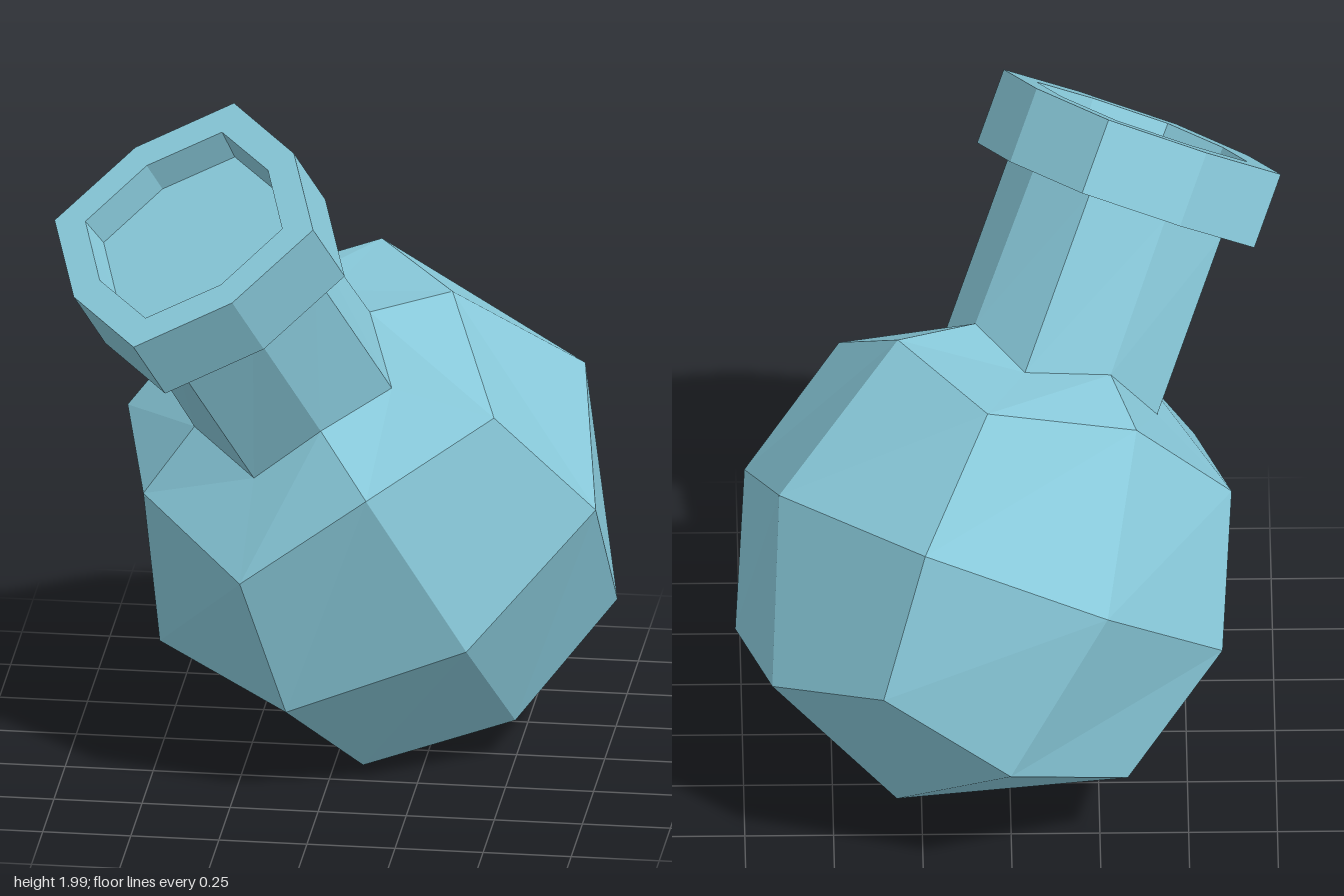
import * as THREE from 'three';

// Lofts eight-sided rings [corner radius, corner height, side radius, side height].
// Corners and sides alternate around the axis; rings run up the outside.
function loft(rings) {
  const point = ([rc, hc, rs, hs], k) => {
    const a = (k % 8) * Math.PI / 4;
    const r = k % 2 ? rs : rc;
    return [r * Math.cos(a), k % 2 ? hs : hc, r * Math.sin(a)];
  };
  const pos = [];
  for (let j = 0; j < rings.length - 1; j++) {
    const lo = rings[j], hi = rings[j + 1];
    for (let k = 0; k < 8; k++) {
      const a = point(lo, k), b = point(hi, k), c = point(hi, k + 1), d = point(lo, k + 1);
      if (lo[0] > 0) pos.push(...a, ...b, ...d);
      if (hi[0] > 0) pos.push(...b, ...c, ...d);
    }
  }
  const geo = new THREE.BufferGeometry();
  geo.setAttribute('position', new THREE.Float32BufferAttribute(pos, 3));
  geo.computeVertexNormals();
  return geo;
}

export function createModel() {
  const glass = new THREE.MeshStandardMaterial({ color: 0x89cadb });
  glass.name = 'paleBlue';
  glass.flatShading = true;

  const flask = new THREE.Group();
  flask.name = 'flask';
  const add = (name, rings) => {
    const mesh = new THREE.Mesh(loft(rings), glass);
    mesh.name = name;
    flask.add(mesh);
  };

  // round bulb, open where the neck begins
  add('bulb', [
    [0, -0.716, 0, -0.716],
    [0.605, -0.43, 0.52, -0.52],
    [0.737, 0, 0.716, 0],
    [0.605, 0.43, 0.52, 0.52],
    [0.328, 0.558, 0.295, 0.63],
  ]);

  // straight neck
  add('neck', [
    [0.328, 0.558, 0.295, 0.63],
    [0.328, 1.095, 0.287, 1.095],
  ]);

  // thick lip with a shallow closed mouth
  add('lip', [
    [0.328, 1.095, 0.287, 1.095],
    [0.427, 1.095, 0.37, 1.095],
    [0.427, 1.315, 0.37, 1.315],
    [0.325, 1.315, 0.283, 1.315],
    [0.312, 1.215, 0.272, 1.215],
    [0, 1.215, 0, 1.215],
  ]);

  // tilt the flask towards its front right
  const up = new THREE.Vector3(-0.347, 0.808, 0.476).normalize();
  const side = new THREE.Vector3(0.909, 0.163, 0.385).projectOnPlane(up).normalize();
  const front = side.clone().cross(up);
  flask.quaternion.setFromRotationMatrix(new THREE.Matrix4().makeBasis(side, up, front));
  flask.position.set(0.073, 0.695, -0.141);

  const model = new THREE.Group();
  model.name = 'tiltedFlask';
  model.add(flask);
  return model;
}
